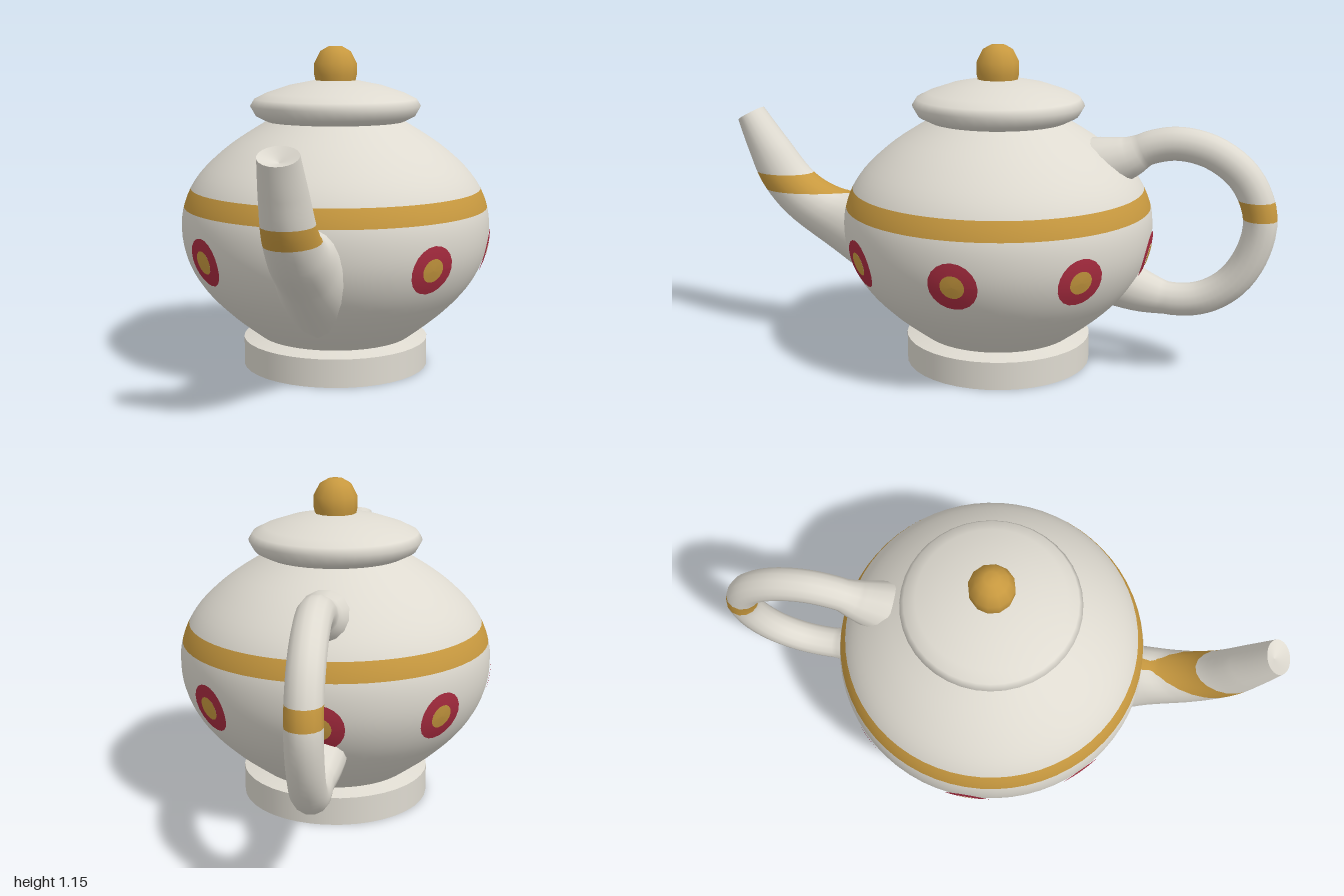
import * as THREE from 'three';
import { ParametricGeometry } from 'three/addons/geometries/ParametricGeometry.js';

const BAND_LOW = 0.585, BAND_HIGH = 0.65, AXIS_Z = -0.015;
const mat = (name, color) => Object.assign(new THREE.MeshStandardMaterial({ color }), { name });
const v2 = (list) => list.map(([x, y]) => new THREE.Vector2(x, y));

// keep the part of a polygon where side * (y - h) >= 0
function clip(poly, h, side) {
  const out = [];
  poly.forEach((p, i) => {
    const q = poly[(i + 1) % poly.length];
    const dp = side * (p[1] - h), dq = side * (q[1] - h);
    if (dp >= 0) out.push(p);
    if (dp * dq < 0) out.push(p.map((c, k) => c + (q[k] - c) * dp / (dp - dq)));
  });
  return out;
}

// cut a geometry at the band heights: group 0 is glaze, group 1 is the gold band
function bandSplit(source) {
  const geo = source.toNonIndexed(), P = geo.attributes.position, N = geo.attributes.normal;
  const zones = [[-9, BAND_LOW, 0], [BAND_HIGH, 9, 0], [BAND_LOW, BAND_HIGH, 1]];
  const pos = [], nor = [], counts = [0, 0];
  for (const [low, high, m] of zones) {
    for (let i = 0; i < P.count; i += 3) {
      const tri = [i, i + 1, i + 2].map((k) =>
        [P.getX(k), P.getY(k), P.getZ(k), N.getX(k), N.getY(k), N.getZ(k)]);
      const poly = clip(clip(tri, low, 1), high, -1);
      for (let k = 1; k < poly.length - 1; k++) {
        for (const p of [poly[0], poly[k], poly[k + 1]]) {
          pos.push(p[0], p[1], p[2]);
          nor.push(p[3], p[4], p[5]);
          counts[m]++;
        }
      }
    }
  }
  const out = new THREE.BufferGeometry();
  out.setAttribute('position', new THREE.Float32BufferAttribute(pos, 3));
  out.setAttribute('normal', new THREE.Float32BufferAttribute(nor, 3));
  out.addGroup(0, counts[0], 0);
  out.addGroup(counts[0], counts[1], 1);
  return out;
}

export function createModel() {
  const model = new THREE.Group();
  model.name = 'teapot';
  const cream = mat('cream glaze', 0xdedad0);
  const gold = mat('gold', 0xc8993f);
  const red = mat('red', 0xaa2c40);
  const add = (name, geo, material, z = 0, y = 0) => {
    const mesh = new THREE.Mesh(geo, material);
    mesh.name = name;
    mesh.position.set(0, y, z);
    model.add(mesh);
    return mesh;
  };

  // foot ring
  add('foot', new THREE.CylinderGeometry(0.335, 0.335, 0.1, 40), cream, AXIS_Z, 0.05);
  add('footShoulder', new THREE.CylinderGeometry(0.275, 0.335, 0.016, 40), cream, AXIS_Z, 0.108);

  // round body with its gold band
  const profile = new THREE.SplineCurve(v2([
    [0.265, 0.105], [0.385, 0.2], [0.48, 0.3], [0.534, 0.4], [0.553, 0.5],
    [0.541, 0.6], [0.487, 0.7], [0.38, 0.8], [0.24, 0.89],
  ])).getPoints(32);
  const radiusAt = (y) => {
    const i = Math.max(1, profile.findIndex((p) => p.y >= y));
    const a = profile[i - 1], b = profile[i];
    return a.x + (b.x - a.x) * (y - a.y) / (b.y - a.y);
  };
  add('body', bandSplit(new THREE.LatheGeometry(profile, 64)), [cream, gold], AXIS_Z);

  // lid and knob
  add('lid', new THREE.LatheGeometry(v2([
    [0, 0.885], [0.245, 0.885], [0.285, 0.905], [0.305, 0.94], [0.29, 0.965],
    [0.25, 0.985], [0.17, 1.012], [0.08, 1.03], [0, 1.034],
  ]), 40), cream, AXIS_Z);
  add('knob', new THREE.LatheGeometry(v2([
    [0.07, 1.02], [0.077, 1.05], [0.077, 1.09], [0.055, 1.133], [0.025, 1.15], [0, 1.151],
  ]), 12), gold, AXIS_Z + 0.002);

  // spout: upper and lower edge lines, each point is [half width, y, z]
  const line = (pts) => new THREE.CatmullRomCurve3(pts.map((p) => new THREE.Vector3(...p)));
  const upper = line([[0.14, 0.45, 0.3], [0.13, 0.56, 0.4], [0.105, 0.587, 0.5],
    [0.092, 0.59, 0.59], [0.083, 0.64, 0.7], [0.073, 0.765, 0.81], [0.062, 0.89, 0.91]]);
  const lower = line([[0.14, 0.15, 0.3], [0.13, 0.255, 0.46], [0.105, 0.36, 0.62],
    [0.092, 0.495, 0.82], [0.083, 0.61, 0.915], [0.073, 0.735, 0.965], [0.062, 0.84, 0.998]]);
  const spoutPoint = (u, v, target) => {
    const a = upper.getPoint(v), b = lower.getPoint(v), t = u * Math.PI * 2, s = Math.sin(t) / 2;
    target.set(a.x * Math.cos(t), (a.y + b.y) / 2 + s * (a.y - b.y), (a.z + b.z) / 2 + s * (a.z - b.z));
  };
  add('spout', bandSplit(new ParametricGeometry(spoutPoint, 20, 30)), [cream, gold]);

  // shallow dished mouth of the spout
  const mouthCentre = new THREE.Vector3(0, 0.845, 0.943);
  add('spoutMouth', new ParametricGeometry((u, v, target) => {
    spoutPoint(u, 1, target);
    target.lerp(mouthCentre, v);
  }, 20, 2), cream);

  // handle: round loop, flaring where it meets the body
  const loop = line([[0, 0.745, -0.38], [0, 0.775, -0.48], [0, 0.815, -0.56], [0, 0.832, -0.66],
    [0, 0.803, -0.78], [0, 0.72, -0.885], [0, 0.59, -0.937], [0, 0.46, -0.915], [0, 0.355, -0.85],
    [0, 0.295, -0.76], [0, 0.278, -0.66], [0, 0.295, -0.55], [0, 0.34, -0.42]]);
  const xAxis = new THREE.Vector3(1, 0, 0);
  add('handle', bandSplit(new ParametricGeometry((u, v, target) => {
    const t = u * Math.PI * 2;
    const r = 0.058 + 0.04 * Math.max(0, Math.abs(v - 0.5) * 2 - 0.72) / 0.28;
    const side = loop.getTangent(v).cross(xAxis);
    target.copy(loop.getPoint(v)).addScaledVector(xAxis, r * Math.cos(t))
      .addScaledVector(side, r * Math.sin(t));
  }, 14, 56)), [cream, gold]);

  // painted flowers, wrapped on the body all round except under the spout
  const wrap = (geo, angle, lift) => {
    const p = geo.attributes.position;
    for (let i = 0; i < p.count; i++) {
      const y = p.getY(i) + 0.432, r = radiusAt(y), a = angle + p.getX(i) / r;
      p.setXYZ(i, Math.sin(a) * (r + lift), y, Math.cos(a) * (r + lift));
    }
    geo.computeVertexNormals();
    return geo;
  };
  for (let i = 1; i < 8; i++) {
    const angle = i * Math.PI / 4;
    add('flowerPetals' + i, wrap(new THREE.RingGeometry(0.04, 0.084, 20, 3), angle, 0.004), red, AXIS_Z);
    add('flowerCentre' + i, wrap(new THREE.RingGeometry(0, 0.041, 20, 2), angle, 0.005), gold, AXIS_Z);
  }
  return model;
}
